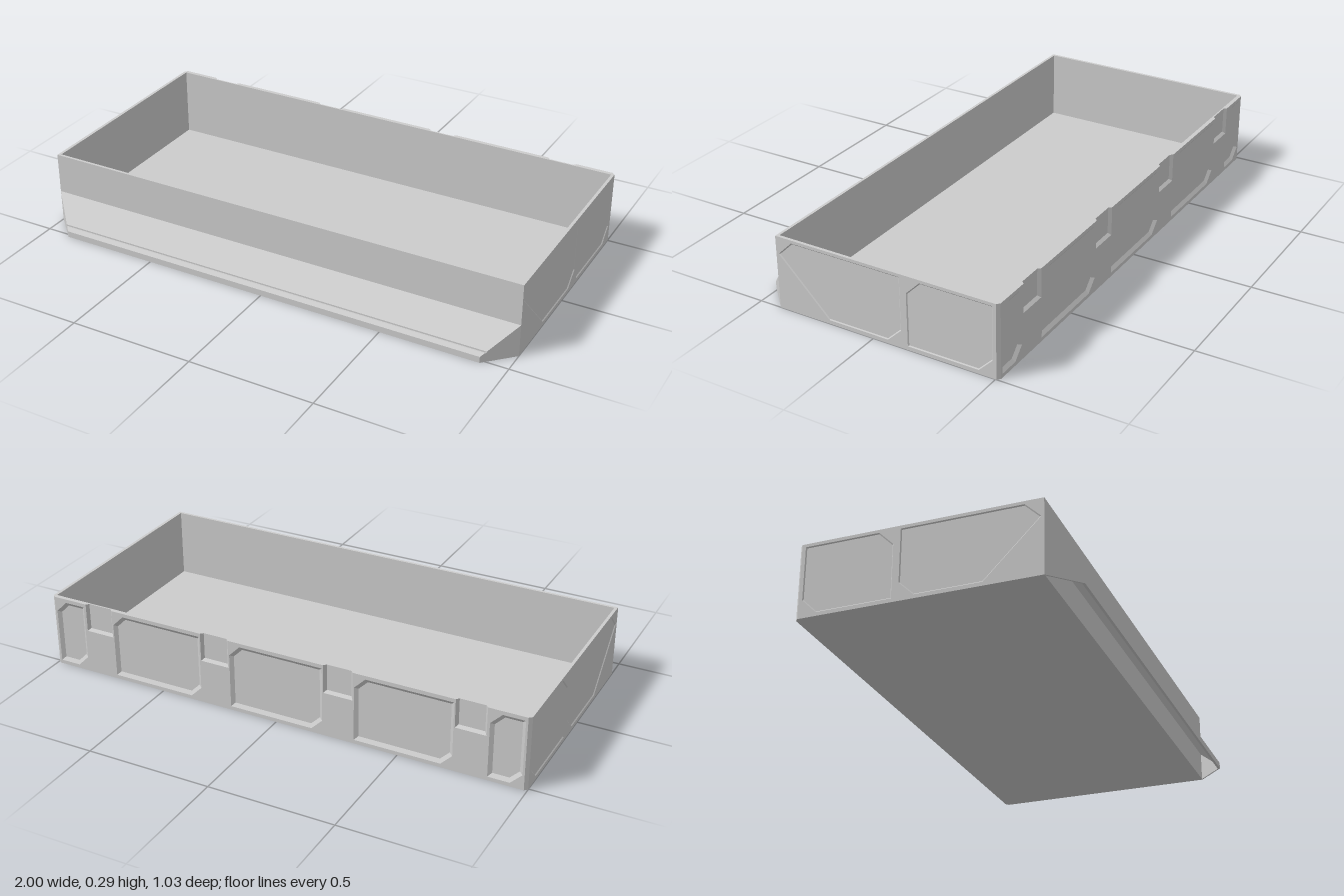
import * as THREE from 'three';
import { mergeGeometries } from 'three/addons/utils/BufferGeometryUtils.js';

const H = 0.295;      // tray height
const FRONT = 0.41;   // outer face of the front wall
const BACK = -0.515;  // outer face of the back wall
const mat = new THREE.MeshStandardMaterial({ color: 0xcccccc, side: THREE.DoubleSide, flatShading: true });

const vecs = (pts) => pts.map(([x, y]) => new THREE.Vector2(x, y));
const ccw = (v) => (THREE.ShapeUtils.isClockWise(v) ? v.slice().reverse() : v);

function fromTriangles(pos) {
  const g = new THREE.BufferGeometry();
  g.setAttribute('position', new THREE.Float32BufferAttribute(pos, 3));
  g.computeVertexNormals();
  return g;
}

// quad strip joining two matching loops (or open rows) of 3D points
function strip(a, b, closed = true) {
  const pos = [];
  const n = closed ? a.length : a.length - 1;
  for (let i = 0; i < n; i++) {
    const j = (i + 1) % a.length;
    for (const p of [a[i], b[i], b[j], a[i], b[j], a[j]]) pos.push(...p);
  }
  return fromTriangles(pos);
}

// flat filled outline at depth z
function flat(outline, z, holes = []) {
  const shape = new THREE.Shape(outline);
  shape.holes = holes.map((h) => new THREE.Path(h));
  const g = new THREE.ShapeGeometry(shape).toNonIndexed();
  g.deleteAttribute('uv');
  return g.translate(0, 0, z);
}

// shrink a counter-clockwise convex outline by d
function inset(v, d) {
  return v.map((p, i) => {
    const e1 = p.clone().sub(v[(i + v.length - 1) % v.length]).normalize();
    const e2 = v[(i + 1) % v.length].clone().sub(p).normalize();
    const n1 = new THREE.Vector2(-e1.y, e1.x), n2 = new THREE.Vector2(-e2.y, e2.x);
    return p.clone().addScaledVector(n1.clone().add(n2), d / (1 + n1.dot(n2)));
  });
}

// outer skin of a wall facing +z, with bevelled recessed panels
function wallSkin(outer, base, panels, depth, bevel) {
  const at = (v, z) => v.map((p) => [p.x, p.y, z]);
  const holes = panels.map((p) => ccw(vecs(p)));
  const parts = [flat(vecs(outer), depth, holes), strip(at(vecs(outer), depth), at(vecs(base), 0))];
  for (const h of holes) {
    const low = inset(h, bevel);
    parts.push(strip(at(h, depth), at(low, 0.0005)), flat(low, 0.0005));
  }
  return mergeGeometries(parts);
}

// rectangle with its upper left and lower right corners cut off
const cutPanel = (x0, x1, y0, y1, c) =>
  [[x0, y0], [x1 - c, y0], [x1, y0 + c], [x1, y1], [x0 + c, y1], [x0, y1 - c]];

export function createModel() {
  const root = new THREE.Group();
  const add = (name, geometry) => {
    const m = new THREE.Mesh(geometry, mat);
    m.name = name;
    root.add(m);
    return m;
  };
  const box = (name, x0, x1, y0, y1, z0, z1) =>
    add(name, new THREE.BoxGeometry(x1 - x0, y1 - y0, z1 - z0)
      .translate((x0 + x1) / 2, (y0 + y1) / 2, (z0 + z1) / 2));

  // floor and plain inner walls
  box('floor', -0.996, 0.996, 0, 0.012, -0.504, FRONT);
  box('frontWall', -1, 1, 0, H, FRONT - 0.011, FRONT);
  box('backWallCore', -0.996, 0.996, 0, H, -0.504, -0.498);

  // side walls with two shallow panels each
  for (const s of [1, -1]) {
    box(s > 0 ? 'leftWallCore' : 'rightWallCore', s > 0 ? 0.988 : -0.996, s > 0 ? 0.996 : -0.988, 0, H, -0.504, FRONT);
    const flip = (pts) => pts.map(([x, y]) => [x * s, y]);
    const outline = flip([[-FRONT, 0], [0.504, 0], [0.504, H], [-FRONT, H]]);
    const frontPanel = flip([[-0.19, 0.015], [0.063, 0.015], [0.12, 0.07], [0.12, 0.283], [-0.34, 0.283], [-0.4, 0.225]]);
    const rearPanel = flip(cutPanel(0.146, 0.49, 0.015, 0.283, 0.056));
    const skin = add(s > 0 ? 'leftWallPanels' : 'rightWallPanels',
      wallSkin(outline, outline, [frontPanel, rearPanel], 0.004, 0.004));
    skin.position.x = 0.996 * s;
    skin.rotation.y = s * Math.PI / 2;
  }

  // back wall: chamfered ends, four hanging slots open at the top, five panels
  const backOutline = (half, slotHalf, slotY) => {
    const pts = [[-half, 0], [half, 0], [half, H]];
    for (const x of [0.78, 0.26, -0.26, -0.78])
      pts.push([x + slotHalf, H], [x + slotHalf, slotY], [x - slotHalf, slotY], [x - slotHalf, H]);
    pts.push([-half, H]);
    return pts;
  };
  const backPanels = [-0.52, 0, 0.52].map((x) => cutPanel(x - 0.195, x + 0.195, 0.015, 0.28, 0.045));
  backPanels.push(cutPanel(-0.98, -0.85, 0.015, 0.28, 0.045), cutPanel(0.85, 0.98, 0.015, 0.28, 0.045));
  const back = add('backWallPanels',
    wallSkin(backOutline(0.988, 0.06, 0.18), backOutline(1, 0.05, 0.19), backPanels, 0.011, 0.014));
  back.position.z = BACK + 0.011;
  back.rotation.y = Math.PI;

  // sloped front lip: hollow below, ends cut at 45 degrees, small step near its edge
  const lipSkin = (profile, trim) => {
    const row = (s) => profile.map(([z, y]) => [s * (1 - trim - (z - FRONT)), y, z]);
    const parts = [strip(row(-1), row(1), false)];
    for (const s of [-1, 1]) {
      const foot = row(s).map(([x, , z]) => [x, 0, z]);
      parts.push(strip(row(s), foot, false));
    }
    return mergeGeometries(parts);
  };
  add('frontLip', lipSkin(
    [[FRONT, 0.13], [0.497, 0.043], [0.497, 0.037], [0.503, 0.037], [0.515, 0.025], [0.515, 0]], 0));
  add('frontLipInside', lipSkin([[FRONT, 0.115], [0.505, 0.02], [0.505, 0]], 0.008));
  // underside rim of the lip
  const rim = (z, trim) => {
    const x = 1 - trim - (z - FRONT);
    return [[-1 + trim, 0, FRONT], [-x, 0, z], [x, 0, z], [1 - trim, 0, FRONT]];
  };
  add('frontLipRim', strip(rim(0.515, 0), rim(0.505, 0.008), false));
  return root;
}
